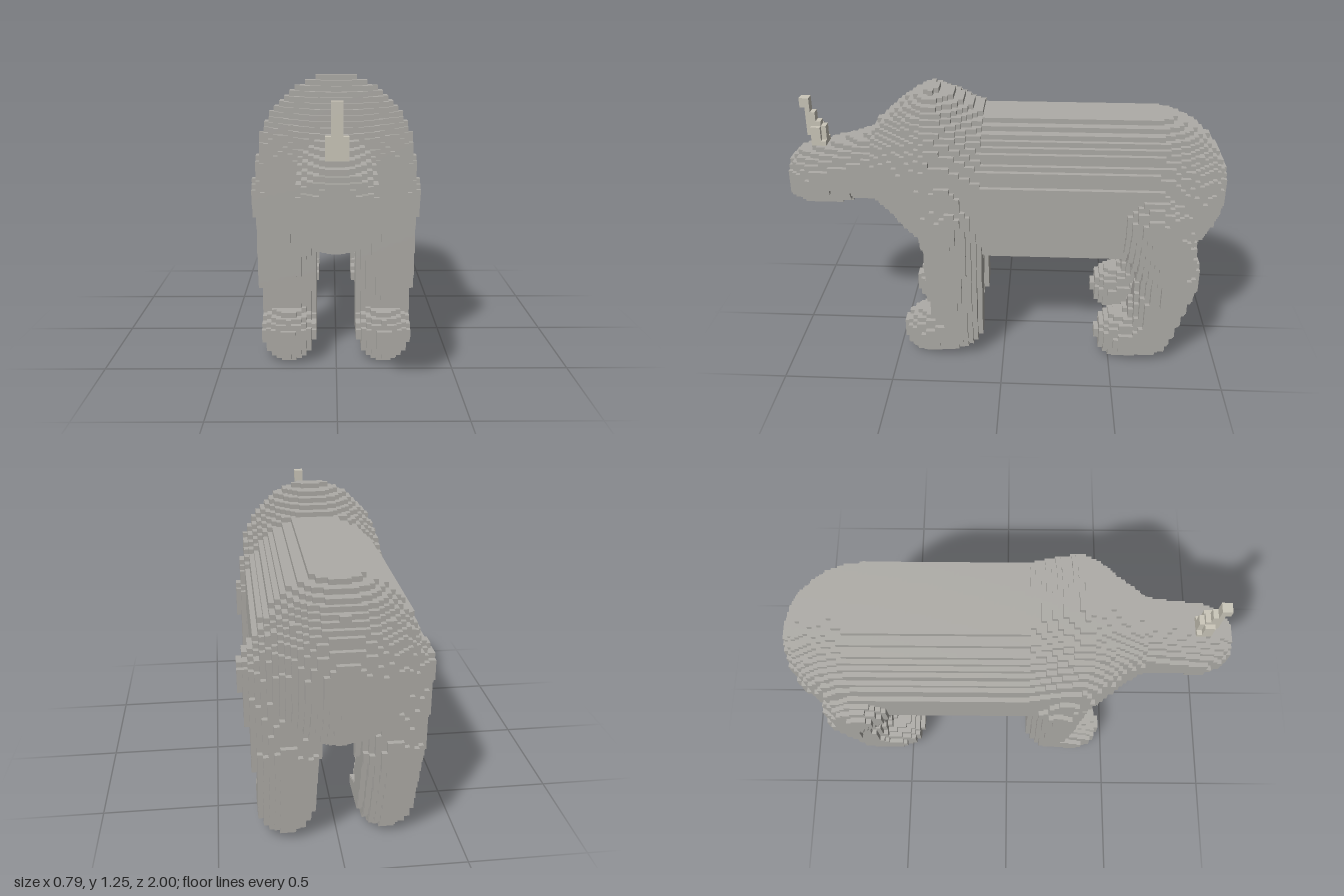
import * as THREE from 'three';

// Block grid: 36 wide, 57 high, 91 long
const S = 2 / 91, NX = 36, NY = 57, NZ = 91;

// Tapered limb through points [x, y, z, radius]
function limb(points) {
  return (x, y, z) => {
    for (let i = 0; i < points.length - 1; i++) {
      const a = points[i], b = points[i + 1];
      const d = [b[0] - a[0], b[1] - a[1], b[2] - a[2]];
      const len2 = d[0] * d[0] + d[1] * d[1] + d[2] * d[2];
      let t = ((x - a[0]) * d[0] + (y - a[1]) * d[1] + (z - a[2]) * d[2]) / len2;
      t = Math.min(1, Math.max(0, t));
      const dist = Math.hypot(x - a[0] - d[0] * t, y - a[1] - d[1] * t, z - a[2] - d[2] * t);
      if (dist <= a[3] + (b[3] - a[3]) * t) return true;
    }
    return false;
  };
}

// Elliptical sections along z: [z, top, bottom, halfWidth]
function loft(sections) {
  return (x, y, z) => {
    for (let i = 0; i < sections.length - 1; i++) {
      const a = sections[i], b = sections[i + 1];
      if (z < a[0] || z >= b[0]) continue;
      const t = (z - a[0]) / (b[0] - a[0]);
      const [, top, bottom, w] = a.map((v, k) => v + (b[k] - v) * t);
      const v = (y - (top + bottom) / 2) / ((top - bottom) / 2);
      return (x / w) ** 2 + v * v <= 1;
    }
    return false;
  };
}

const ellipsoid = (cy, cz, rx, ry, rz) => (x, y, z) =>
  (x / rx) ** 2 + ((y - cy) / ry) ** 2 + ((z - cz) / rz) ** 2 <= 1;

const mirrorX = (f) => (x, y, z) => f(-x, y, z);

const frontLeg = limb([
  [0.22, 0.74, 0.24, 0.15], [0.21, 0.14, 0.22, 0.122], [0.21, 0.11, 0.355, 0.115],
]);
const hindLeg = limb([
  [0.22, 0.73, -0.66, 0.175], [0.21, 0.42, -0.76, 0.135],
  [0.21, 0.13, -0.68, 0.122], [0.21, 0.11, -0.55, 0.115],
]);

export function createModel() {
  const hide = new THREE.MeshStandardMaterial({ color: 0xaeaca7 });
  hide.name = 'greyHide';
  const ivory = new THREE.MeshStandardMaterial({ color: 0xcbc7ba });
  ivory.name = 'paleHorn';

  const parts = [
    ['trunk', hide, loft([[-0.65, 1.15, 0.44, 0.335], [0.12, 1.15, 0.44, 0.335]])],
    ['rump', hide, ellipsoid(0.795, -0.64, 0.335, 0.357, 0.365)],
    // Humped shoulders narrowing into the neck
    ['shoulders', hide, loft([
      [0.09, 1.16, 0.44, 0.335], [0.17, 1.19, 0.44, 0.34], [0.24, 1.225, 0.45, 0.345],
      [0.335, 1.255, 0.48, 0.34], [0.39, 1.235, 0.505, 0.31], [0.433, 1.205, 0.54, 0.28],
      [0.5, 1.15, 0.605, 0.225], [0.567, 1.095, 0.67, 0.185], [0.61, 1.04, 0.71, 0.16],
    ])],
    ['head', hide, loft([
      [0.6, 1.04, 0.705, 0.16], [0.7, 1.01, 0.705, 0.155], [0.8, 0.98, 0.69, 0.155],
      [0.88, 0.96, 0.685, 0.152], [0.95, 0.94, 0.695, 0.125], [1.0, 0.885, 0.715, 0.085],
    ])],
    ['leftFrontLeg', hide, frontLeg],
    ['rightFrontLeg', hide, mirrorX(frontLeg)],
    ['leftHindLeg', hide, hindLeg],
    ['rightHindLeg', hide, mirrorX(hindLeg)],
    ['horn', ivory, limb([
      [0, 0.92, 0.845, 0.047], [0, 1.05, 0.872, 0.036],
      [0, 1.09, 0.885, 0.023], [0, 1.178, 0.917, 0.018],
    ])],
  ];

  // Give each block to the first part that contains its centre
  const owner = new Int8Array(NX * NY * NZ).fill(-1);
  const at = (i, j, k) =>
    i < 0 || j < 0 || k < 0 || i >= NX || j >= NY || k >= NZ ? -1 : owner[(k * NY + j) * NX + i];
  for (let k = 0; k < NZ; k++)
    for (let j = 0; j < NY; j++)
      for (let i = 0; i < NX; i++) {
        const x = (i + 0.5 - NX / 2) * S, y = (j + 0.5) * S, z = (k + 0.5 - NZ / 2) * S;
        owner[(k * NY + j) * NX + i] = parts.findIndex((p) => p[2](x, y, z));
      }

  // Outer faces of a part's blocks
  function blockGeometry(id) {
    const pos = [], nor = [], idx = [];
    for (let k = 0; k < NZ; k++)
      for (let j = 0; j < NY; j++)
        for (let i = 0; i < NX; i++) {
          if (at(i, j, k) !== id) continue;
          for (let axis = 0; axis < 3; axis++)
            for (const dir of [-1, 1]) {
              const n = [0, 0, 0];
              n[axis] = dir;
              if (at(i + n[0], j + n[1], k + n[2]) >= 0) continue;
              const u = (axis + 1) % 3, v = (axis + 2) % 3, base = pos.length / 3;
              for (const [a, b] of [[0, 0], [1, 0], [1, 1], [0, 1]]) {
                const c = [i, j, k];
                c[axis] += dir > 0 ? 1 : 0;
                c[u] += a;
                c[v] += b;
                pos.push((c[0] - NX / 2) * S, c[1] * S, (c[2] - NZ / 2) * S);
                nor.push(...n);
              }
              const order = dir > 0 ? [0, 1, 2, 0, 2, 3] : [0, 2, 1, 0, 3, 2];
              idx.push(...order.map((o) => base + o));
            }
        }
    const g = new THREE.BufferGeometry();
    g.setAttribute('position', new THREE.Float32BufferAttribute(pos, 3));
    g.setAttribute('normal', new THREE.Float32BufferAttribute(nor, 3));
    g.setIndex(idx);
    return g;
  }

  const model = new THREE.Group();
  model.name = 'hornedAnimal';
  parts.forEach(([name, material], id) => {
    const mesh = new THREE.Mesh(blockGeometry(id), material);
    mesh.name = name;
    model.add(mesh);
  });
  return model;
}
